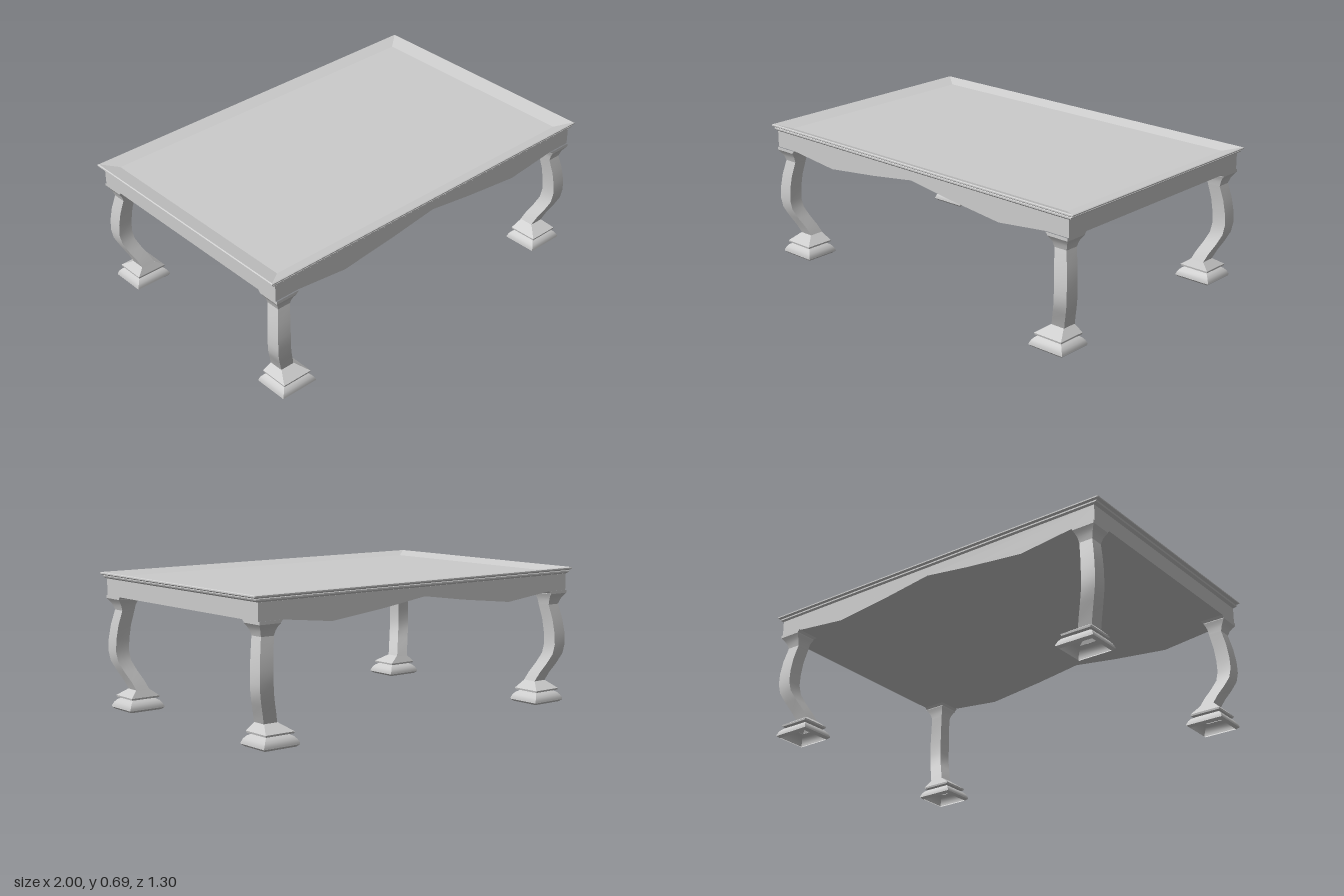
import * as THREE from 'three';
import { toCreasedNormals } from 'three/addons/utils/BufferGeometryUtils.js';

const grey = new THREE.MeshStandardMaterial({ color: 0xcccccc });
const greyOpen = new THREE.MeshStandardMaterial({ color: 0xcccccc, side: THREE.DoubleSide });

// Skin over rectangular rings [y, centreX, centreZ, halfX, halfZ], listed from bottom to top.
function loft(rings, { capStart = false, capEnd = false, crease = 0.5 } = {}) {
  const pos = [], idx = [];
  for (const [y, cx, cz, hx, hz] of rings) {
    for (const [sx, sz] of [[1, 1], [1, -1], [-1, -1], [-1, 1]]) pos.push(cx + sx * hx, y, cz + sz * hz);
  }
  for (let r = 0; r < rings.length - 1; r++) {
    for (let i = 0; i < 4; i++) {
      const a = r * 4 + i, b = r * 4 + (i + 1) % 4;
      idx.push(a, b, b + 4, a, b + 4, a + 4);
    }
  }
  const e = (rings.length - 1) * 4;
  if (capStart) idx.push(0, 2, 1, 0, 3, 2);
  if (capEnd) idx.push(e, e + 1, e + 2, e, e + 2, e + 3);
  const g = new THREE.BufferGeometry();
  g.setAttribute('position', new THREE.Float32BufferAttribute(pos, 3));
  g.setIndex(idx);
  return toCreasedNormals(g, crease);
}

function part(name, geometry, material = grey) {
  const mesh = new THREE.Mesh(geometry, material);
  mesh.name = name;
  return mesh;
}

// Moulded top with a shallow sunken panel
function makeTop() {
  return part('tableTop', loft([
    [0.66, 0, 0, 0.97, 0.634],
    [0.668, 0, 0, 0.985, 0.643],
    [0.675, 0, 0, 0.988, 0.643],
    [0.677, 0, 0, 0.985, 0.639],
    [0.684, 0, 0, 1.0, 0.65],
    [0.69, 0, 0, 1.0, 0.65],
    [0.693, 0, 0, 0.995, 0.645],
    [0.672, 0, 0, 0.915, 0.583],
  ], { capStart: true, capEnd: true, crease: 0.1 }));
}

// Apron block with a scalloped underside running from front to back
function makeApron() {
  const half = [[0, 0.615], [0.25, 0.58], [0.56, 0.545], [0.84, 0.576], [0.97, 0.576]];
  const shape = new THREE.Shape();
  shape.moveTo(-0.97, 0.66);
  for (const [x, y] of [...half].reverse()) shape.lineTo(-x, y);
  for (const [x, y] of half.slice(1)) shape.lineTo(x, y);
  shape.lineTo(0.97, 0.66);
  const g = new THREE.ExtrudeGeometry(shape, { depth: 1.27, bevelEnabled: false });
  g.translate(0, 0, -0.635);
  return part('apron', g);
}

// Curved leg with a flared head, standing on a two-tiered foot
function makeLeg(sx, sz) {
  const leg = new THREE.Group();
  // y, centre x, half width; the z centre follows the same curve
  const curve = [
    [0.105, 0.86, 0.037], [0.15, 0.878, 0.037], [0.2, 0.903, 0.037], [0.25, 0.924, 0.037],
    [0.3, 0.931, 0.037], [0.36, 0.929, 0.037], [0.43, 0.921, 0.036], [0.505, 0.906, 0.035],
  ];
  const head = [[0.505, 0.906, 0.035], [0.53, 0.908, 0.041], [0.547, 0.91, 0.049], [0.562, 0.912, 0.058]];
  const lip = [[0.562, 0.912, 0.058], [0.565, 0.912, 0.058], [0.577, 0.906, 0.064]];
  const ring = ([y, c, h]) => [y, sx * c, sz * (c - 0.327), h, h];
  leg.add(part('legShaft', loft(curve.map(ring))));
  leg.add(part('legHead', loft(head.map(ring))));
  leg.add(part('legLip', loft(lip.map(ring))));

  // Foot is hollow underneath
  const fx = sx * 0.853, fz = sz * 0.558;
  const foot = [
    [0, 0.086, 0.077], [0.011, 0.099, 0.089], [0.017, 0.099, 0.089], [0.035, 0.09, 0.082],
    [0.048, 0.079, 0.071], [0.058, 0.061, 0.055], [0.061, 0.078, 0.073], [0.07, 0.08, 0.075],
  ].map(([y, hx, hz]) => [y, fx, fz, hx, hz]);
  foot.push([0.108, sx * 0.86, sz * 0.536, 0.037, 0.037]);
  leg.add(part('foot', loft(foot), greyOpen));
  leg.name = (sz > 0 ? 'front' : 'back') + (sx > 0 ? 'Left' : 'Right') + 'Leg';
  return leg;
}

export function createModel() {
  const table = new THREE.Group();
  table.name = 'coffeeTable';
  table.add(makeTop(), makeApron());
  for (const sx of [-1, 1]) for (const sz of [-1, 1]) table.add(makeLeg(sx, sz));
  return table;
}
